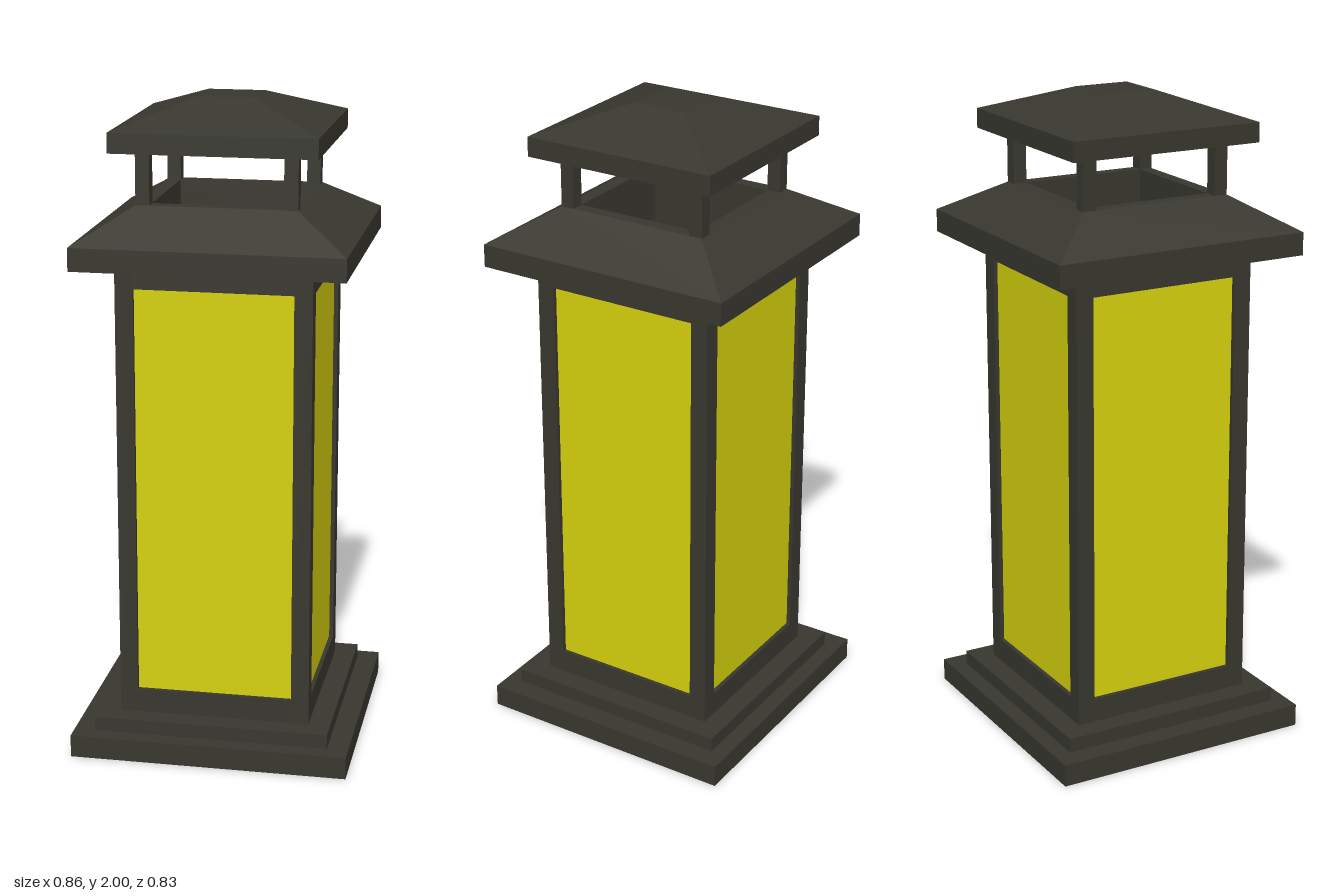
import * as THREE from 'three';

const dark = new THREE.MeshStandardMaterial({ color: 0x38372f, flatShading: true });
const yellow = new THREE.MeshStandardMaterial({ color: 0xd6d20e, flatShading: true });

export function createModel() {
  const model = new THREE.Group();

  const add = (name, geometry, material, x = 0, y = 0, z = 0, parent = model) => {
    const mesh = new THREE.Mesh(geometry, material);
    mesh.name = name;
    mesh.position.set(x, y, z);
    parent.add(mesh);
    return mesh;
  };
  const box = (name, w, y0, y1, d, x = 0, z = 0, material = dark, parent = model) =>
    add(name, new THREE.BoxGeometry(w, y1 - y0, d), material, x, (y0 + y1) / 2, z, parent);

  // Square-plan solid: profile points are [half width, height]
  const square = (name, profile) => {
    const points = profile.map(([r, y]) => new THREE.Vector2(r * Math.SQRT2, y));
    const geometry = new THREE.LatheGeometry(points, 4, Math.PI / 4).toNonIndexed();
    geometry.computeVertexNormals();
    return add(name, geometry, dark);
  };

  // Stepped base
  box('basePlate', 0.855, 0, 0.07, 0.828);
  box('baseStep', 0.724, 0.07, 0.115, 0.724);

  // Hollow body: corner posts, rails and a pane on each side
  const half = 0.295, inner = 0.24, thick = half - inner, mid = (half + inner) / 2;
  for (const x of [-mid, mid])
    for (const z of [-mid, mid]) box('cornerPost', thick, 0.115, 1.53, thick, x, z);
  for (let i = 0; i < 4; i++) {
    const side = new THREE.Group();
    side.name = 'bodySide';
    side.rotation.y = (i * Math.PI) / 2;
    box('bottomRail', inner * 2, 0.115, 0.19, thick, 0, mid, dark, side);
    box('topRail', inner * 2, 1.46, 1.53, thick, 0, mid, dark, side);
    box('pane', inner * 2, 0.19, 1.46, 0.02, 0, 0.272, yellow, side);
    model.add(side);
  }

  // Lower roof with an open centre
  square('lowerRoof', [
    [0.406, 1.53], [0.406, 1.6], [0.24, 1.7], [0.2, 1.7], [0.2, 1.53], [0.406, 1.53],
  ]);

  // Short posts carrying the cap
  for (const x of [-0.22, 0.22])
    for (const z of [-0.22, 0.22]) box('capPost', 0.042, 1.69, 1.87, 0.042, x, z);

  // Cap roof with a flat top
  square('capRoof', [[0, 1.86], [0.308, 1.86], [0.308, 1.92], [0.087, 2], [0, 2]]);

  return model;
}
